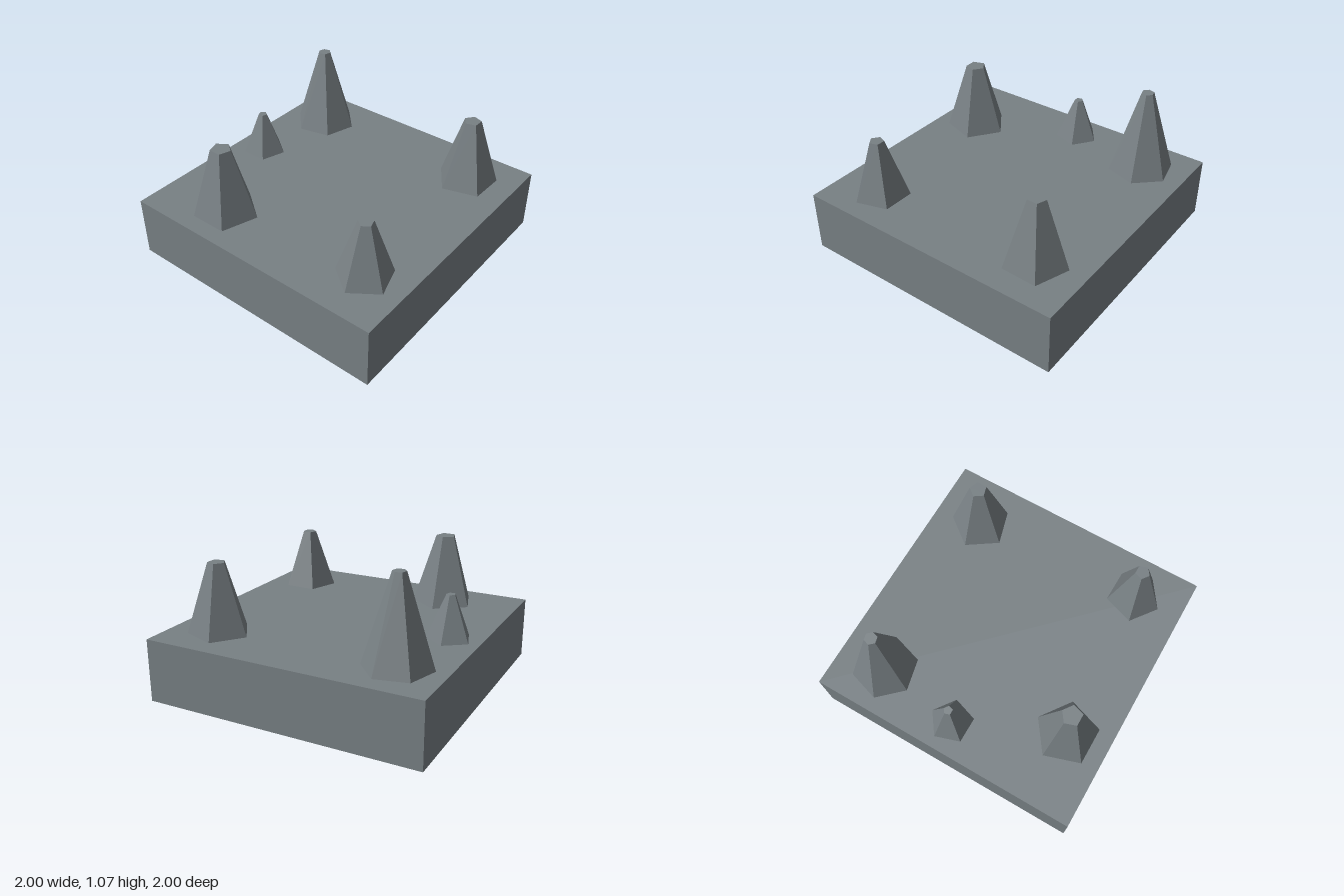
import * as THREE from 'three';

const TOP = 0.45;

export function createModel() {
  const model = new THREE.Group();
  model.name = 'spikedSlab';
  const stone = new THREE.MeshStandardMaterial({ color: 0x788084, flatShading: true, side: THREE.DoubleSide });
  stone.name = 'stone grey';

  const add = (parent, name, geometry) => {
    const mesh = new THREE.Mesh(geometry, stone);
    mesh.name = name;
    parent.add(mesh);
    return mesh;
  };

  // Hollow slab: a top plate and four walls, open underneath
  const slab = new THREE.Group();
  slab.name = 'slab';
  model.add(slab);
  add(slab, 'slabTop', new THREE.PlaneGeometry(2, 2).rotateX(-Math.PI / 2).translate(0, TOP, 0));
  ['frontWall', 'leftWall', 'backWall', 'rightWall'].forEach((name, i) => {
    add(slab, name, new THREE.PlaneGeometry(2, TOP).translate(0, TOP / 2, 1).rotateY(i * Math.PI / 2));
  });

  // Tapered spikes: name, x, z, base radius, tip radius, tip height, sides, turn in degrees
  const spikes = [
    ['backRightSpike', -0.694, -0.449, 0.229, 0.072, 0.96, 5, 90],
    ['backLeftSpike', 0.653, -0.674, 0.235, 0.045, 1.065, 6, 73],
    ['backSmallSpike', 0.04, -0.775, 0.157, 0.032, 0.76, 5, 90],
    ['frontRightSpike', -0.631, 0.693, 0.198, 0.052, 0.88, 5, -91],
    ['frontLeftSpike', 0.652, 0.652, 0.22, 0.062, 0.945, 5, 178],
  ];
  for (const [name, x, z, base, tip, top, sides, degrees] of spikes) {
    const turn = THREE.MathUtils.degToRad(degrees);
    const height = top - TOP;
    const spike = new THREE.Group();
    spike.name = name;
    spike.position.set(x, TOP, z);
    model.add(spike);
    add(spike, 'spikeSides',
      new THREE.CylinderGeometry(tip, base, height, sides, 1, true, turn).translate(0, height / 2, 0));
    add(spike, 'spikeTip',
      new THREE.CircleGeometry(tip, sides, turn - Math.PI / 2).rotateX(-Math.PI / 2).translate(0, height, 0));
  }
  return model;
}
